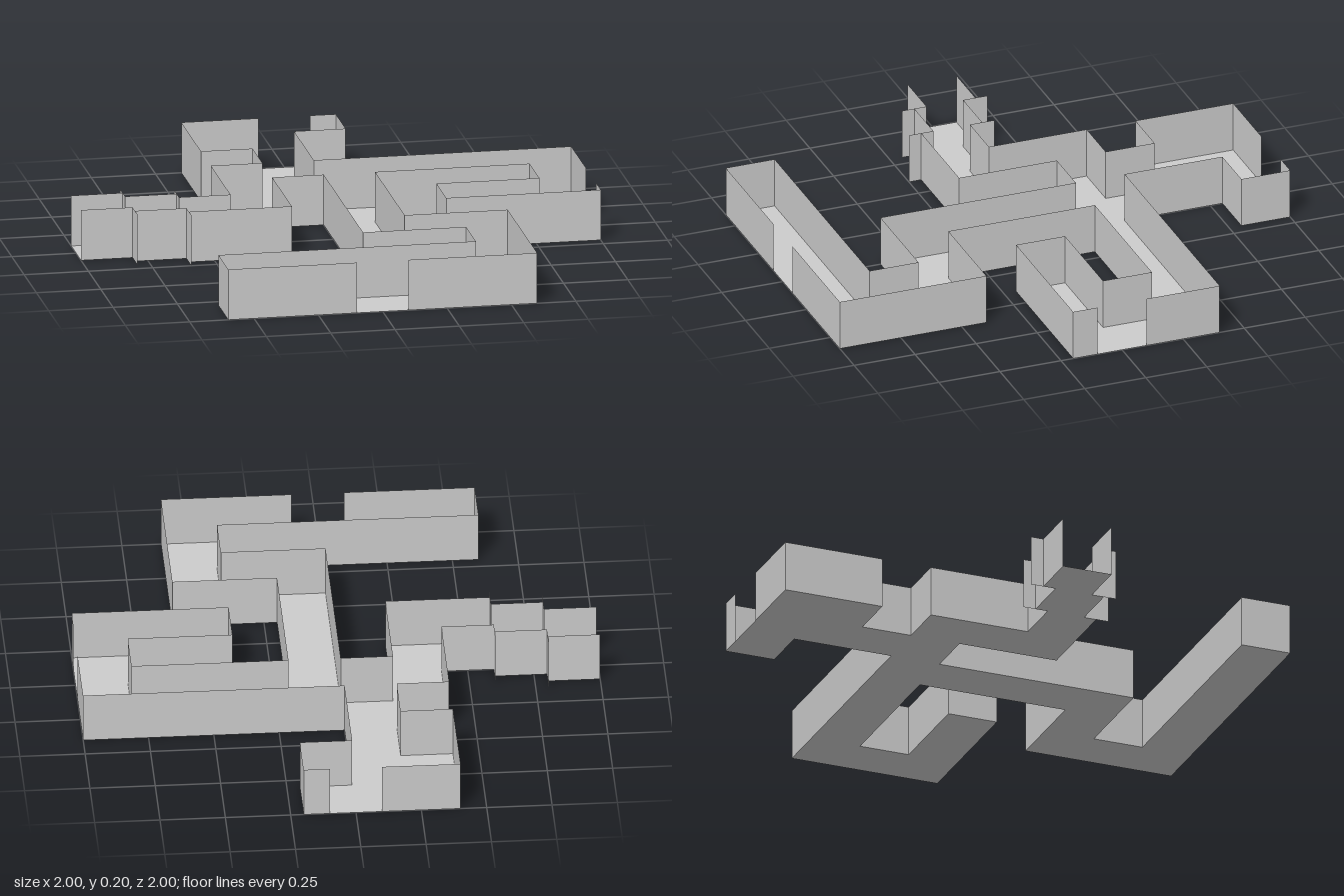
import * as THREE from 'three';

const HEIGHT = 0.2;

// Floor outline as [x, z] corners, walked clockwise from the back left corner.
// The third entry is the kind of wall leading to the next corner.
const OUTLINE = [
  [-0.4, -1, 'door'], [0.2, -1], [0.2, -0.8], [0, -0.8], [0, -0.4],
  [1, -0.4, 'door'], [1, 0.2], [0.4, 0.2], [0.4, 0], [0.8, 0],
  [0.8, -0.2], [0.2, -0.2], [0.2, 0.4], [0.6, 0.4], [0.6, 1, 'door'],
  [-0.6, 1], [-0.6, 0.8], [0.4, 0.8], [0.4, 0.6], [0, 0.6],
  [0, -0.2], [-0.2, -0.2], [-0.2, 0.2], [-0.6, 0.2, 'open'], [-0.6, 0.15],
  [-0.8, 0.15, 'open'], [-0.8, 0.1], [-1, 0.1, 'open'], [-1, -0.1],
  [-0.8, -0.1, 'open'], [-0.8, -0.05], [-0.6, -0.05, 'open'], [-0.6, 0],
  [-0.4, 0], [-0.4, -0.4], [-0.2, -0.4], [-0.2, -0.6], [-0.4, -0.6],
];

export function createModel() {
  const model = new THREE.Group();
  model.name = 'corridorPlan';
  const grey = new THREE.MeshStandardMaterial({ color: 0xcccccc, side: THREE.DoubleSide });
  grey.name = 'plain grey';

  // Upright sheet between two floor points
  function addWall(name, x1, z1, x2, z2) {
    const geometry = new THREE.PlaneGeometry(Math.hypot(x2 - x1, z2 - z1), HEIGHT);
    const wall = new THREE.Mesh(geometry, grey);
    wall.name = name;
    wall.position.set((x1 + x2) / 2, HEIGHT / 2, (z1 + z2) / 2);
    wall.rotation.y = Math.atan2(z1 - z2, x2 - x1) + Math.PI; // front side outward
    model.add(wall);
  }

  // Floor sheet
  const shape = new THREE.Shape(OUTLINE.map(([x, z]) => new THREE.Vector2(x, z)));
  const floor = new THREE.Mesh(new THREE.ShapeGeometry(shape).rotateX(Math.PI / 2), grey);
  floor.name = 'floor';
  model.add(floor);

  // Walls along the outline, with 0.2 wide doorways centred on the axes
  OUTLINE.forEach(([x1, z1, kind], i) => {
    const [x2, z2] = OUTLINE[(i + 1) % OUTLINE.length];
    if (kind === 'open') return;
    if (kind !== 'door') return addWall('wall', x1, z1, x2, z2);
    if (z1 === z2) {
      const s = Math.sign(x2 - x1) * 0.1;
      addWall('doorWall', x1, z1, -s, z1);
      addWall('doorWall', s, z1, x2, z2);
    } else {
      const s = Math.sign(z2 - z1) * 0.1;
      addWall('doorWall', x1, z1, x1, -s);
      addWall('doorWall', x1, s, x2, z2);
    }
  });

  // Short panels where the stepped passage narrows, reaching past the floor
  for (const [x, z] of [[-0.8, -0.15], [-0.8, 0.1], [-0.6, -0.1], [-0.6, 0.15]]) {
    addWall('stepPanel', x, z + 0.1, x, z);
  }

  return model;
}
